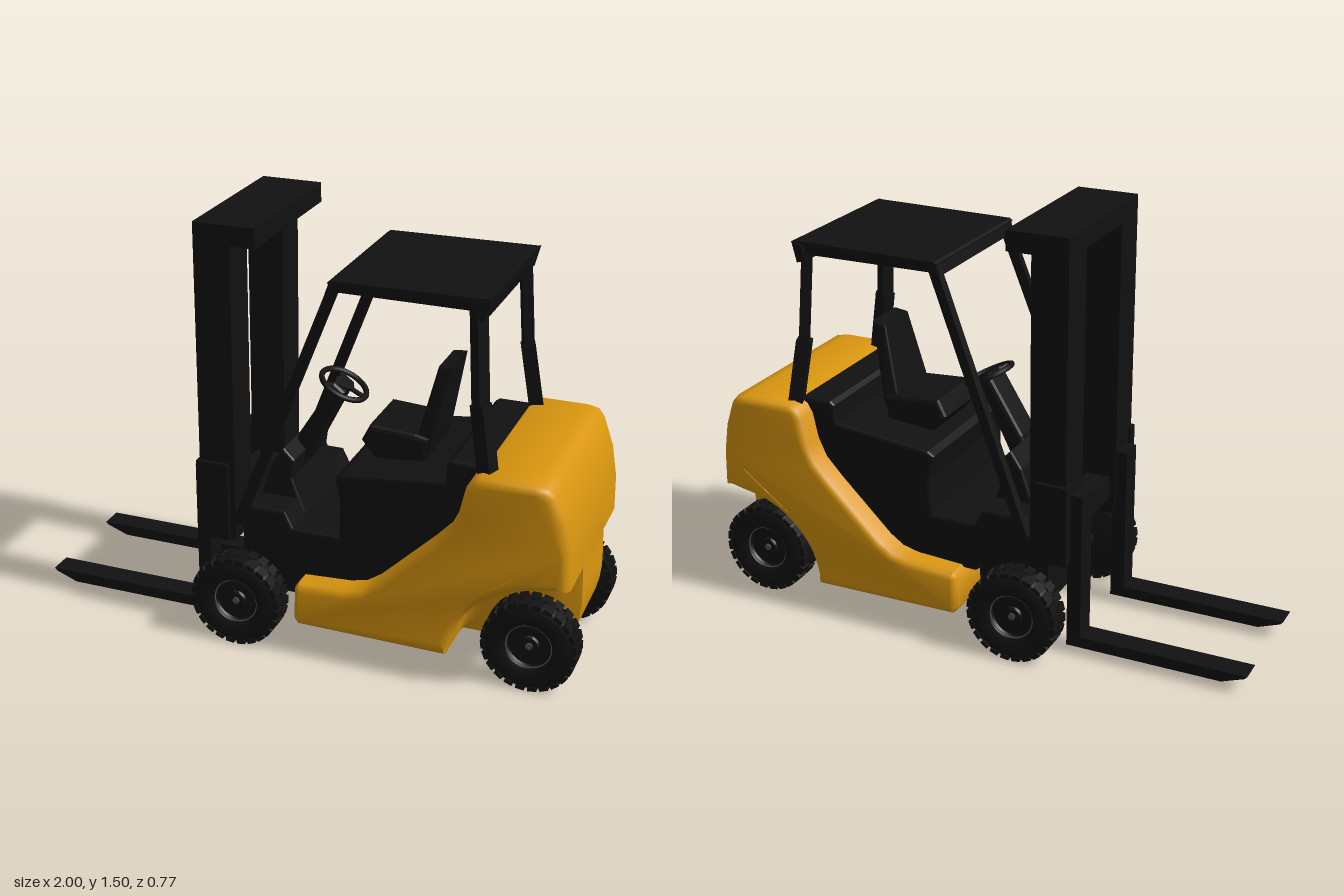
import * as THREE from 'three';
import { toCreasedNormals } from 'three/addons/utils/BufferGeometryUtils.js';

const yellow = new THREE.MeshStandardMaterial({ color: 0xd9960f });
const black = new THREE.MeshStandardMaterial({ color: 0x111111 });
const grey = new THREE.MeshStandardMaterial({ color: 0x555555 });
const V = (x, y, z = 0) => new THREE.Vector3(x, y, z);
const SIDES = [-1, 1];

function add(parent, name, geometry, material = black) {
  const mesh = new THREE.Mesh(geometry, material);
  mesh.name = name;
  parent.add(mesh);
  return mesh;
}

// Side profile in x,y extruded from z0 to z1
function prism(parent, name, pts, z0, z1, bevel = 0) {
  const shape = new THREE.Shape(pts.map(([x, y]) => new THREE.Vector2(x, y)));
  const g = new THREE.ExtrudeGeometry(shape, {
    depth: z1 - z0 - 2 * bevel, bevelEnabled: bevel > 0, bevelSize: bevel,
    bevelThickness: bevel, bevelOffset: -bevel, bevelSegments: 2,
  });
  g.translate(0, 0, z0 + bevel);
  return add(parent, name, g);
}

function box(parent, name, x0, x1, y0, y1, z0, z1) {
  const m = add(parent, name, new THREE.BoxGeometry(x1 - x0, y1 - y0, z1 - z0));
  m.position.set((x0 + x1) / 2, (y0 + y1) / 2, (z0 + z1) / 2);
  return m;
}

// Square bar between two points: w across, d deep
function beam(parent, name, a, b, w, d) {
  const m = add(parent, name, new THREE.BoxGeometry(w, d, a.distanceTo(b)));
  m.position.copy(a).lerp(b, 0.5);
  m.lookAt(b);
  return m;
}

// Body shell: side profiles lofted across z, the rear arch opening outwards
function bodyGeometry() {
  const spline = (pts) => new THREE.CatmullRomCurve3(pts.map(([x, y]) => V(x, y))).getSpacedPoints(14);
  const arch = spline([[0.56, 0.11], [0.6, 0.24], [0.67, 0.33], [0.75, 0.385], [0.85, 0.415], [0.965, 0.42]]);
  const closed = spline([[0.56, 0.11], [0.7, 0.11], [0.86, 0.11], [0.93, 0.14], [0.965, 0.24], [0.965, 0.42]]);
  const front = [[0.01, 0.14], [0.03, 0.115]].map(([x, y]) => V(x, y));
  const rest = [[0.962, 0.55], [0.942, 0.66], [0.905, 0.755], [0.88, 0.782], [0.84, 0.79], [0.66, 0.79],
    [0.63, 0.775], [0.61, 0.74], [0.59, 0.65], [0.56, 0.585], [0.5, 0.52], [0.31, 0.335], [0.26, 0.3],
    [0.2, 0.285], [0.03, 0.275], [0.014, 0.255]].map(([x, y]) => V(x, y));
  // [half width, edge inset]
  const half = [[0.37, 0.03], [0.367, 0.016], [0.358, 0.006], [0.34, 0], [0.23, 0], [0.21, 0],
    [0.19, 0], [0.175, 0], [0.165, 0], [0.16, 0]];
  const stations = [...half.map(([z, d]) => [-z, d]), ...half.reverse()];
  const rings = stations.map(([z, d]) => {
    const t = THREE.MathUtils.clamp((0.23 - Math.abs(z)) / 0.07, 0, 1);
    const k = Math.sqrt(1 - t * t);
    const p = [...front, ...closed.map((c, i) => c.clone().lerp(arch[i], k)), ...rest];
    return p.map((q, i) => {
      const e = p[(i + 1) % p.length].clone().sub(p[(i + p.length - 1) % p.length]).normalize();
      const x = q.x - e.y * d, y = q.y + e.x * d;
      return V(x, y, z * (1 - Math.max(0, x - 0.87) * 0.8));
    });
  });
  const n = rings[0].length, last = (rings.length - 1) * n, index = [];
  for (let j = 0; j < rings.length - 1; j++) {
    for (let i = 0; i < n; i++) {
      const a = j * n + i, b = j * n + (i + 1) % n;
      index.push(a, b, b + n, a, b + n, a + n);
    }
  }
  const contour = rings[0].map((p) => new THREE.Vector2(p.x, p.y));
  for (const [a, b, c] of THREE.ShapeUtils.triangulateShape(contour, [])) {
    index.push(a, c, b, last + a, last + b, last + c);
  }
  const g = new THREE.BufferGeometry().setFromPoints(rings.flat());
  g.setIndex(index);
  return toCreasedNormals(g, 0.75);
}

// Wheel facing +z, centred on its own origin
function makeWheel(name) {
  const wheel = new THREE.Group();
  wheel.name = name;
  const profile = [[0.001, 0.03], [0.03, 0.03], [0.035, 0.022], [0.075, 0.022], [0.082, 0.04], [0.1, 0.05],
    [0.14, 0.05], [0.156, 0.04], [0.159, 0.02], [0.159, -0.02], [0.156, -0.04], [0.14, -0.05], [0.001, -0.05]];
  const tyre = new THREE.LatheGeometry(profile.reverse().map(([r, y]) => new THREE.Vector2(r, y)), 40);
  add(wheel, 'tyre', toCreasedNormals(tyre.rotateX(Math.PI / 2), 0.6));
  // Staggered tread blocks
  for (let i = 0; i < 48; i++) {
    const a = i / 48 * Math.PI * 2;
    const lug = add(wheel, 'treadBlock', new THREE.BoxGeometry(0.015, 0.016, 0.046));
    lug.position.set(Math.cos(a) * 0.157, Math.sin(a) * 0.157, i % 2 ? 0.024 : -0.024);
    lug.rotation.z = a;
    lug.scale.y = 1.9;
  }
  add(wheel, 'rimRing', new THREE.TorusGeometry(0.079, 0.0025, 6, 40), grey).position.z = 0.034;
  add(wheel, 'hubCap', new THREE.CylinderGeometry(0.012, 0.012, 0.01, 16).rotateX(Math.PI / 2), grey).position.z = 0.03;
  return wheel;
}

export function createModel() {
  const model = new THREE.Group();
  model.name = 'forklift';

  add(model, 'body', bodyGeometry(), yellow);

  // Floor, engine cover and nose
  prism(model, 'cabBase', [[-0.23, 0.44], [-0.2, 0.4], [-0.02, 0.26], [0.3, 0.27], [0.58, 0.5], [0.65, 0.7],
    [0.65, 0.793], [0.54, 0.793], [0.525, 0.78], [0.52, 0.715], [0.16, 0.675], [0.135, 0.66], [0.153, 0.57],
    [0.15, 0.44], [-0.02, 0.44], [-0.05, 0.5], [-0.2, 0.5]], -0.285, 0.285, 0.01);
  box(model, 'frontChassis', -0.25, 0.03, 0.13, 0.4, -0.18, 0.18);

  // Steering column and wheel
  prism(model, 'dashboard', [[-0.2, 0.45], [-0.02, 0.44], [-0.07, 0.57], [-0.06, 0.64], [-0.1, 0.68], [-0.14, 0.62]], -0.17, 0.17, 0.01);
  prism(model, 'steeringColumn', [[-0.12, 0.6], [-0.07, 0.57], [0.08, 0.87], [0.04, 0.9], [-0.09, 0.69]], -0.06, 0.06, 0.015);
  const steering = new THREE.Group();
  steering.name = 'steeringWheel';
  steering.position.set(0.06, 0.88, 0);
  steering.rotation.z = -0.46;
  add(steering, 'rim', new THREE.TorusGeometry(0.085, 0.01, 8, 32).rotateX(Math.PI / 2));
  add(steering, 'hub', new THREE.CylinderGeometry(0.035, 0.03, 0.016, 20));
  for (let i = 0; i < 3; i++) {
    const spoke = add(steering, 'spoke', new THREE.BoxGeometry(0.08, 0.008, 0.02).translate(0.04, 0, 0));
    spoke.rotation.y = i * Math.PI * 2 / 3;
  }
  model.add(steering);

  // Seat, the back narrowing towards the top
  prism(model, 'seatCushion', [[0.17, 0.74], [0.2, 0.8], [0.36, 0.79], [0.41, 0.78], [0.4, 0.69], [0.22, 0.68]], -0.13, 0.13, 0.015);
  const back = prism(model, 'seatBack', [[0.35, 0.7], [0.4, 0.7], [0.42, 0.76], [0.475, 1.037], [0.425, 1.03], [0.37, 0.8]], -0.12, 0.12, 0.01);
  const pos = back.geometry.attributes.position;
  for (let i = 0; i < pos.count; i++) {
    pos.setZ(i, pos.getZ(i) * (1 - Math.max(0, pos.getY(i) - 0.76) * 1.05));
  }
  back.geometry.computeVertexNormals();

  // Overhead guard
  prism(model, 'roofPanel', [[0.11, 1.35], [0.12, 1.333], [0.65, 1.34], [0.652, 1.363], [0.12, 1.357]], -0.29, 0.29);
  prism(model, 'roofFrontLip', [[0.1, 1.31], [0.14, 1.32], [0.15, 1.345], [0.115, 1.35]], -0.285, 0.285);
  prism(model, 'roofRearLip', [[0.6, 1.3], [0.635, 1.29], [0.654, 1.362], [0.615, 1.35]], -0.3, 0.3);
  for (const s of SIDES) {
    beam(model, 'roofRail', V(0.12, 1.337, s * 0.27), V(0.64, 1.337, s * 0.275), 0.03, 0.035);
    beam(model, 'frontPost', V(-0.215, 0.44, s * 0.295), V(0.13, 1.34, s * 0.268), 0.03, 0.035);
    beam(model, 'rearPostLower', V(0.67, 0.76, s * 0.297), V(0.63, 1.01, s * 0.283), 0.05, 0.05);
    beam(model, 'rearPostUpper', V(0.631, 1.0, s * 0.283), V(0.61, 1.33, s * 0.272), 0.048, 0.036);
  }

  // Mast and fork carriage
  box(model, 'mastTopBar', -0.36, -0.14, 1.43, 1.5, -0.29, 0.29);
  box(model, 'mastCrossbar', -0.34, -0.25, 0.42, 0.5, -0.16, 0.16);
  for (const s of SIDES) {
    box(model, 'mastUpright', -0.36, -0.23, 0.36, 1.45, s * 0.22 - 0.07, s * 0.22 + 0.07);
    box(model, 'carriageSide', -0.368, -0.25, 0.36, 0.65, s * 0.285 - 0.02, s * 0.285 + 0.02);
    prism(model, 'fork', [[-1, 0.07], [-0.99, 0.06], [-0.91, 0.03], [-0.35, 0.03], [-0.35, 0.6], [-0.4, 0.6], [-0.4, 0.07]],
      s * 0.2 - 0.043, s * 0.2 + 0.043);
  }

  // Wheels: the front pair sits wider than the rear pair
  for (const [name, x, z] of [['frontWheel', -0.2, 0.335], ['rearWheel', 0.83, 0.255]]) {
    const axle = add(model, name + 'Axle', new THREE.CylinderGeometry(0.03, 0.03, z * 2, 16).rotateX(Math.PI / 2));
    axle.position.set(x, 0.165, 0);
    axle.scale.z = 0.9;
    for (const s of SIDES) {
      const wheel = makeWheel(name);
      wheel.position.set(x, 0.166, s * z);
      if (s < 0) wheel.rotation.y = Math.PI;
      model.add(wheel);
    }
  }
  return model;
}
